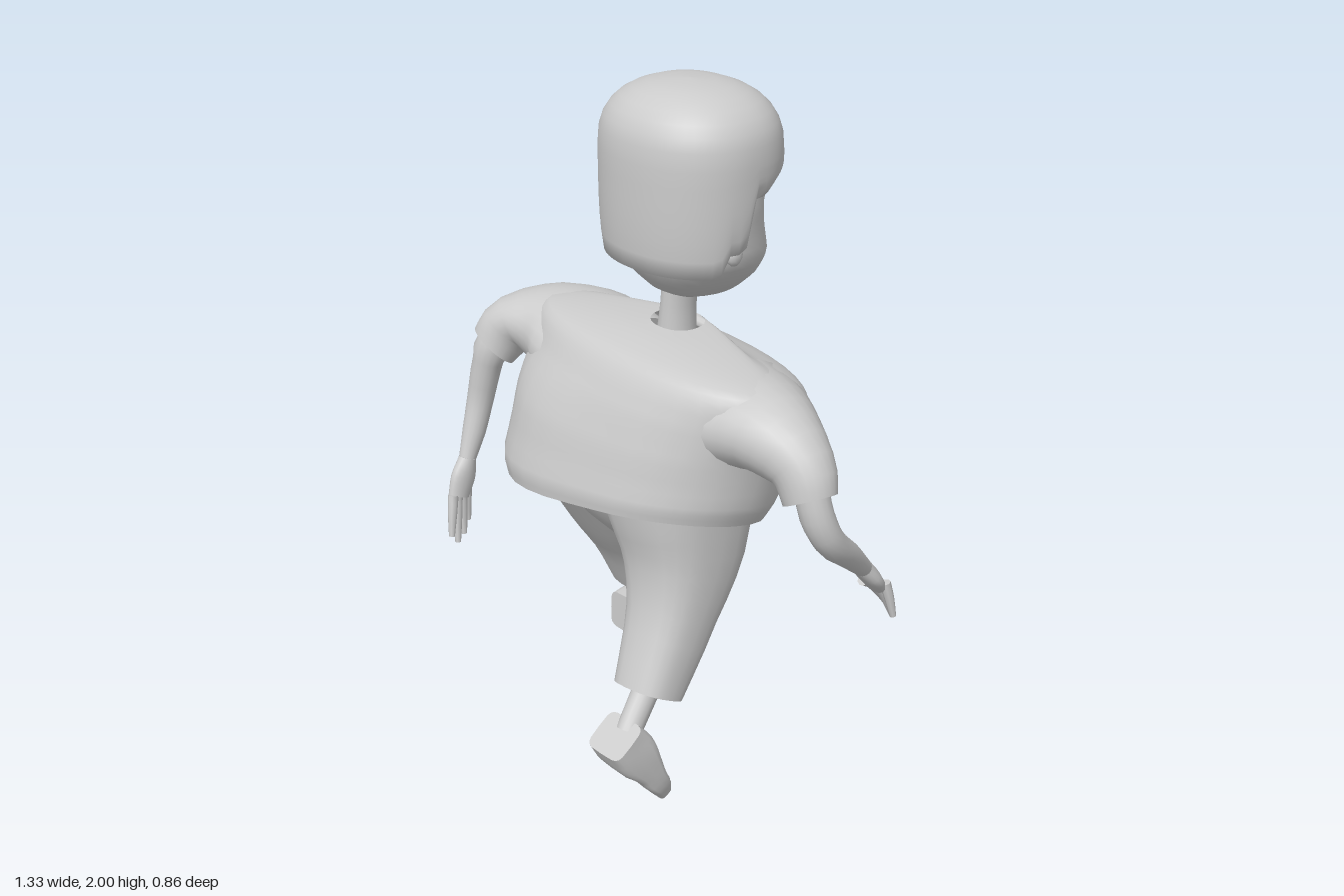
import * as THREE from 'three';

const material = new THREE.MeshStandardMaterial({ color: 0xcccccc, side: THREE.DoubleSide });
const V = (x, y, z) => new THREE.Vector3(x, y, z);
const Z = V(0, 0, 1), Y = V(0, 1, 0);
const { smoothstep, lerp } = THREE.MathUtils;

// Smooth surface through closed rows of points; flat caps get their own vertices.
function skin(rows, capStart, capEnd) {
  const pos = [], index = [], n = rows[0].length;
  const strip = (list) => {
    const base = pos.length / 3;
    list.forEach((row) => row.forEach((p) => pos.push(p.x, p.y, p.z)));
    for (let i = 0; i < list.length - 1; i++) {
      for (let j = 0; j < n; j++) {
        const a = base + i * n + j, b = base + i * n + (j + 1) % n;
        index.push(a, b, a + n, b, b + n, a + n);
      }
    }
  };
  const middle = (row) => {
    const c = row.reduce((s, p) => s.add(p), V(0, 0, 0)).divideScalar(n);
    return row.map(() => c.clone());
  };
  strip(rows);
  if (capStart) strip([middle(rows[0]), rows[0]]);
  if (capEnd) strip([rows[rows.length - 1], middle(rows[rows.length - 1])]);
  const g = new THREE.BufferGeometry();
  g.setAttribute('position', new THREE.Float32BufferAttribute(pos, 3));
  g.setIndex(index);
  g.computeVertexNormals();
  return g;
}

// Loft through rings [x, y, z, radiusA, radiusB] with superelliptic sections.
function loft(rings, { n = 16, power = 2, steps = 3, ref = Z, axis = null, caps = [true, true], bend = null } = {}) {
  const path = new THREE.CatmullRomCurve3(rings.map((r) => V(r[0], r[1], r[2])));
  const size = new THREE.CatmullRomCurve3(rings.map((r) => V(r[3], r[4], 0)));
  const rows = [], count = (rings.length - 1) * steps;
  const pw = (k) => Math.sign(k) * Math.abs(k) ** (2 / power);
  for (let i = 0; i <= count; i++) {
    const c = path.getPoint(i / count), s = size.getPoint(i / count);
    const t = axis || path.getTangent(i / count);
    const a = V(0, 0, 0).crossVectors(ref, t).normalize();
    const b = V(0, 0, 0).crossVectors(t, a).normalize();
    const row = [];
    for (let j = 0; j < n; j++) {
      const q = (j / n) * Math.PI * 2;
      const p = c.clone().addScaledVector(a, s.x * pw(Math.cos(q))).addScaledVector(b, s.y * pw(Math.sin(q)));
      if (bend) bend(p);
      row.push(p);
    }
    rows.push(row);
  }
  return skin(rows, caps[0], caps[1]);
}

// Cap of hair: domed crown, long at the back and sides, short fringe in front.
function hairGeometry() {
  const n = 56, rows = [];
  const edge = (z) => 1.53 + 0.06 * smoothstep(-z, -0.03, 0) + 0.14 * smoothstep(-z, 0.045, 0.075) + 0.03 * smoothstep(-z, 0.1, 0.2);
  const round = (k) => Math.sign(k) * Math.abs(k) ** 0.93;
  const at = (r, f) => {
    const row = [];
    for (let j = 0; j < n; j++) {
      const q = (j / n) * Math.PI * 2;
      const z = 0.223 * round(Math.sin(q));
      row.push(V(0.255 * r * round(Math.cos(q)), f(edge(z - 0.08)), r * z - 0.08));
    }
    return row;
  };
  for (let i = 0; i <= 8; i++) {
    const a = (i / 16) * Math.PI;
    rows.push(at(Math.sin(a) ** 0.8, () => 1.82 + 0.18 * Math.max(0, Math.cos(a)) ** 0.8));
  }
  for (let i = 1; i <= 6; i++) rows.push(at(1 - 0.05 * (i / 6) ** 4, (e) => lerp(1.82, e, i / 6)));
  rows.push(at(0.84, (e) => e + 0.008));
  rows.reverse();
  return skin(rows, false, false);
}

export function createModel() {
  const model = new THREE.Group();
  const add = (name, geometry, parent = model) => {
    const mesh = new THREE.Mesh(geometry, material);
    mesh.name = name;
    parent.add(mesh);
    return mesh;
  };

  // Head
  const head = new THREE.Group();
  head.name = 'head';
  model.add(head);
  add('face', loft([
    [-0.02, 1.408, -0.1, 0.07, 0.07], [-0.018, 1.43, -0.11, 0.125, 0.12], [-0.015, 1.48, -0.105, 0.18, 0.162],
    [-0.012, 1.55, -0.09, 0.222, 0.182], [-0.006, 1.63, -0.075, 0.223, 0.173], [0, 1.7, -0.07, 0.222, 0.168],
    [0, 1.82, -0.07, 0.212, 0.175],
  ], { n: 28, power: 2.15, axis: Y }), head);
  add('hair', hairGeometry(), head);
  for (const s of [-1, 1]) {
    const eye = add('eye', new THREE.SphereGeometry(0.04, 16, 12), head);
    eye.scale.set(1.1, 0.9, 0.6);
    eye.position.set(s * 0.095, 1.68, -0.208);
    eye.rotation.y = s * 0.4;
    const lid = add('eyelid', new THREE.SphereGeometry(0.045, 16, 6, 0, Math.PI * 2, 0, Math.PI * 0.42), head);
    lid.scale.set(1.1, 0.95, 0.65);
    lid.position.copy(eye.position);
    lid.rotation.y = s * 0.4;
    const ear = add('ear', new THREE.SphereGeometry(0.026, 12, 8), head);
    ear.scale.set(0.7, 1.2, 1);
    ear.position.set(s * 0.23 - 0.012, 1.585, -0.03);
  }
  add('neck', loft([[-0.025, 1.28, -0.055, 0.052, 0.06], [-0.02, 1.38, -0.058, 0.043, 0.056],
    [-0.015, 1.46, -0.065, 0.045, 0.06]], { axis: Y }));

  // Loose shirt, fuller at one back corner, with a twisted open hem
  add('shirt', loft([
    [-0.045, 0.855, 0.02, 0.39, 0.295], [-0.045, 0.92, -0.01, 0.42, 0.325], [-0.03, 1.06, -0.035, 0.432, 0.32],
    [-0.02, 1.17, -0.035, 0.455, 0.285], [-0.015, 1.25, 0.0, 0.465, 0.21], [-0.015, 1.295, 0.03, 0.41, 0.14],
    [-0.02, 1.318, -0.02, 0.2, 0.1], [-0.02, 1.325, -0.055, 0.075, 0.07],
  ], {
    n: 36, power: 2.2, axis: Y, caps: [false, false],
    bend: (p) => {
      const low = Math.max(0, (1.08 - p.y) / 0.225);
      const corner = 0.55 * Math.max(0, -p.x * p.z) * (1 - smoothstep(p.y, 1.08, 1.25));
      p.y += low * (0.1 * p.z + 0.42 * p.x * p.z) - (p.y > 1.1 ? 0.04 * p.x : 0);
      p.x -= corner;
      p.z += corner;
    },
  }));
  const sleeve = { n: 24, caps: [true, false] };
  add('leftSleeve', loft([[0.16, 1.14, -0.01, 0.13, 0.18], [0.3, 1.16, 0.0, 0.13, 0.18], [0.43, 1.165, 0.025, 0.11, 0.135],
    [0.545, 1.115, 0.04, 0.088, 0.087], [0.585, 1.04, 0.05, 0.075, 0.07]], sleeve));
  add('rightSleeve', loft([[-0.18, 1.16, -0.01, 0.13, 0.19], [-0.33, 1.185, -0.005, 0.13, 0.205], [-0.46, 1.205, 0.03, 0.11, 0.165],
    [-0.55, 1.195, 0.095, 0.085, 0.1], [-0.585, 1.13, 0.145, 0.075, 0.073]], sleeve));

  // Arms and hands
  const arms = [
    { side: 'left', path: [[0.58, 1.1, 0.05, 0.045, 0.045], [0.605, 1.0, 0.045, 0.047, 0.045], [0.62, 0.92, 0.01, 0.042, 0.042],
      [0.6, 0.83, -0.09, 0.036, 0.036], [0.568, 0.74, -0.19, 0.027, 0.026]],
    palm: [0.545, 0.645, -0.275],
    tips: [[0.498, 0.56, -0.37], [0.53, 0.53, -0.36], [0.565, 0.525, -0.335], [0.595, 0.55, -0.3]],
    thumb: [0.435, 0.67, -0.31], spread: [0.02, 0.003, -0.008] },
    { side: 'right', path: [[-0.58, 1.18, 0.13, 0.045, 0.045], [-0.605, 1.08, 0.155, 0.045, 0.045], [-0.628, 0.96, 0.17, 0.04, 0.04],
      [-0.628, 0.86, 0.2, 0.034, 0.036], [-0.622, 0.78, 0.235, 0.024, 0.027]],
    palm: [-0.615, 0.67, 0.28],
    tips: [[-0.615, 0.58, 0.25], [-0.605, 0.545, 0.275], [-0.597, 0.53, 0.305], [-0.592, 0.56, 0.33]],
    thumb: [-0.64, 0.64, 0.225], spread: [0.003, 0.0, 0.018] },
  ];
  for (const { side, path, palm, tips, thumb, spread } of arms) {
    const wrist = path[path.length - 1].slice(0, 3);
    const wide = side === 'left' ? [0.046, 0.026] : [0.024, 0.042];
    add(side + 'Arm', loft(path));
    add(side + 'Palm', loft([[...wrist, 0.026, 0.026], [...wrist.map((w, i) => (w + palm[i]) / 2), ...wide],
      [...palm, wide[0] * 0.85, wide[1] * 0.85]]));
    tips.forEach((tip, i) => {
      const root = palm.map((p, k) => p + spread[k] * (i - 1.5) + (wrist[k] - p) * 0.1);
      const mid = root.map((r, k) => (r + tip[k]) / 2 + (k === 1 ? 0.006 : 0));
      add(side + 'Finger', loft([[...root, 0.016, 0.016], [...mid, 0.014, 0.014], [...tip, 0.009, 0.009]], { n: 8, steps: 2 }));
    });
    const root = wrist.map((w, i) => w * 0.6 + palm[i] * 0.4);
    add(side + 'Thumb', loft([[...root, 0.018, 0.018], [...root.map((r, i) => (r + thumb[i]) / 2 + (i === 1 ? 0.012 : 0)), 0.016, 0.016],
      [...thumb, 0.01, 0.01]], { n: 8, steps: 2, ref: Y }));
  }

  // Trousers: hips and two wide legs in mid stride
  add('hips', loft([[-0.055, 0.93, 0.0, 0.34, 0.24], [-0.055, 0.85, 0.005, 0.335, 0.23], [-0.055, 0.76, 0.0, 0.27, 0.18],
    [-0.05, 0.67, 0.0, 0.12, 0.1]], { n: 28, power: 2.3, axis: V(0, -1, 0) }));
  const leg = { n: 24, power: 2.5, caps: [true, false] };
  add('leftTrouserLeg', loft([[0.1, 0.9, 0.05, 0.19, 0.215], [0.133, 0.72, 0.07, 0.155, 0.17], [0.158, 0.55, 0.135, 0.12, 0.12],
    [0.18, 0.35, 0.245, 0.094, 0.09]], leg));
  add('rightTrouserLeg', loft([[-0.22, 0.9, 0.02, 0.19, 0.215], [-0.25, 0.71, -0.06, 0.158, 0.175], [-0.27, 0.56, -0.125, 0.125, 0.14],
    [-0.285, 0.395, -0.178, 0.1, 0.108]], leg));

  // Ankles
  add('leftAnkle', loft([[0.175, 0.45, 0.19, 0.045, 0.045], [0.18, 0.36, 0.25, 0.038, 0.04], [0.195, 0.26, 0.335, 0.035, 0.038]]));
  add('rightAnkle', loft([[-0.29, 0.5, -0.16, 0.045, 0.05], [-0.3, 0.37, -0.165, 0.036, 0.042], [-0.312, 0.25, -0.165, 0.032, 0.038]]));

  // Shoes: the right one level, the left one pushing off its toe
  const shoe = { n: 20, power: 5, steps: 3, ref: Y };
  add('rightShoe', loft([[-0.315, 0.223, -0.115, 0.068, 0.062], [-0.315, 0.22, -0.19, 0.073, 0.068], [-0.32, 0.188, -0.28, 0.069, 0.046],
    [-0.325, 0.175, -0.36, 0.061, 0.034], [-0.326, 0.162, -0.425, 0.038, 0.022]], shoe));
  add('leftShoe', loft([[0.19, 0.265, 0.38, 0.067, 0.061], [0.19, 0.205, 0.338, 0.072, 0.068], [0.195, 0.13, 0.288, 0.069, 0.046],
    [0.2, 0.07, 0.255, 0.061, 0.035], [0.2, 0.014, 0.225, 0.039, 0.022]], shoe));

  return model;
}
